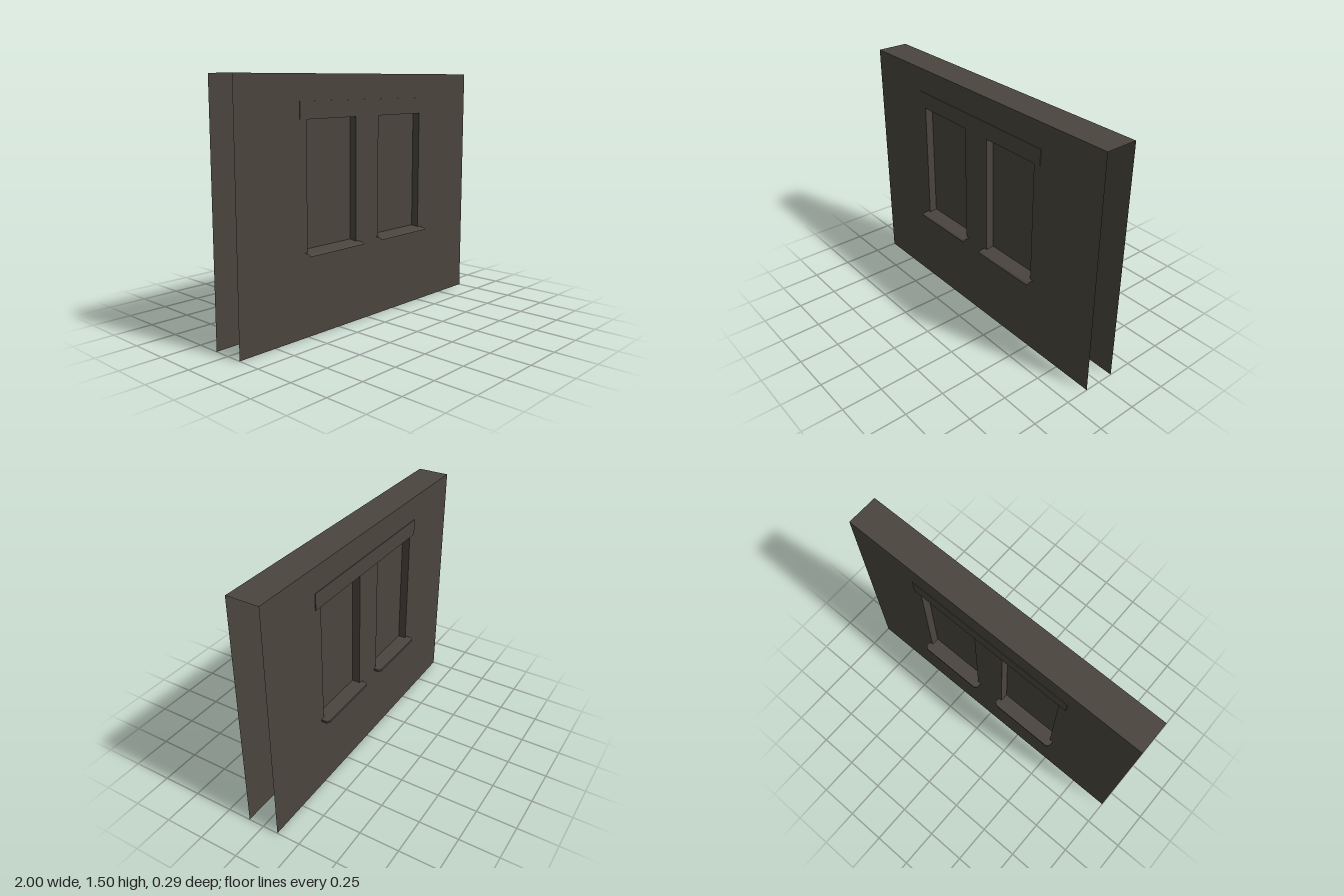
import * as THREE from 'three';

const stone = new THREE.MeshStandardMaterial({ color: 0x4a453d, side: THREE.DoubleSide });
stone.name = 'dark stone';

const WALL_Z = 0.1, PANE_Z = 0.05;
const WIN_X = 0.3, WIN_HALF = 0.2, WIN_BOTTOM = 0.5, WIN_TOP = 1.25, SILL_HALF = 0.223;

function add(parent, name, geometry, x = 0, y = 0, z = 0) {
  const mesh = new THREE.Mesh(geometry, stone);
  mesh.name = name;
  mesh.position.set(x, y, z);
  parent.add(mesh);
  return mesh;
}

// Wall face with two window openings
function wallGeometry() {
  const shape = new THREE.Shape([[-1, 0], [1, 0], [1, 1.5], [-1, 1.5]].map(p => new THREE.Vector2(...p)));
  for (const s of [-1, 1]) {
    const a = s * WIN_X - WIN_HALF, b = s * WIN_X + WIN_HALF;
    shape.holes.push(new THREE.Path([[a, WIN_BOTTOM], [a, WIN_TOP], [b, WIN_TOP], [b, WIN_BOTTOM]]
      .map(p => new THREE.Vector2(...p))));
  }
  return new THREE.ShapeGeometry(shape);
}

// Open sheet of constant width that follows a [z, y] profile, front to back
function sheetGeometry(half, profile) {
  const geo = new THREE.PlaneGeometry(2 * half, 1, 1, profile.length - 1);
  const pos = geo.attributes.position;
  for (let i = 0; i < pos.count; i++) {
    const [z, y] = profile[profile.length - 1 - Math.floor(i / 2)];
    pos.setY(i, y);
    pos.setZ(i, z);
  }
  geo.computeVertexNormals();
  return geo;
}

// Slab sill with clipped outer corners; its outer edge faces -z
function slabSillGeometry() {
  const w = SILL_HALF, c = 0.015, inner = PANE_Z, outer = 0.147;
  const shape = new THREE.Shape([[-w, inner], [w, inner], [w, outer - c], [w - c, outer], [c - w, outer], [-w, outer - c]]
    .map(p => new THREE.Vector2(...p)));
  return new THREE.ExtrudeGeometry(shape, { depth: 0.015, bevelEnabled: false }).rotateX(-Math.PI / 2);
}

export function createModel() {
  const group = new THREE.Group();
  group.name = 'windowWall';

  // Hollow wall: two faces and a top, open at the ends and below
  add(group, 'frontWall', wallGeometry(), 0, 0, WALL_Z);
  add(group, 'backWall', wallGeometry(), 0, 0, -WALL_Z).rotation.y = Math.PI;
  add(group, 'wallTop', new THREE.PlaneGeometry(2, 2 * WALL_Z).rotateX(-Math.PI / 2), 0, 1.5, 0);

  // One lintel over both windows, slightly proud of the wall
  add(group, 'lintel', new THREE.BoxGeometry(1.1, 0.1, 0.208), 0, 1.3, 0);

  const height = WIN_TOP - WIN_BOTTOM, midY = (WIN_TOP + WIN_BOTTOM) / 2;
  for (const side of [-1, 1]) {
    const x = side * WIN_X;
    for (const face of [-1, 1]) {
      // Recessed panel and its two jambs
      const panel = add(group, 'windowPanel', new THREE.PlaneGeometry(2 * WIN_HALF, height), x, midY, face * PANE_Z);
      if (face < 0) panel.rotation.y = Math.PI;
      for (const j of [-1, 1]) {
        add(group, 'jamb', new THREE.PlaneGeometry(WALL_Z - PANE_Z, height).rotateY(-j * Math.PI / 2),
          x + j * WIN_HALF, midY, face * (WALL_Z + PANE_Z) / 2);
      }
    }
    // Front sill: thin sloping sheet with a drooping lip
    add(group, 'frontSillInner', sheetGeometry(WIN_HALF, [[WALL_Z, 0.5], [PANE_Z, 0.506]]), x);
    add(group, 'frontSillLip', sheetGeometry(SILL_HALF,
      [[0.147, 0.484], [0.146, 0.489], [0.142, 0.493], [0.135, 0.496], [WALL_Z, 0.5]]), x);
    // Back sill: flat slab
    add(group, 'backSill', slabSillGeometry(), x, 0.485, 0);
  }
  return group;
}
